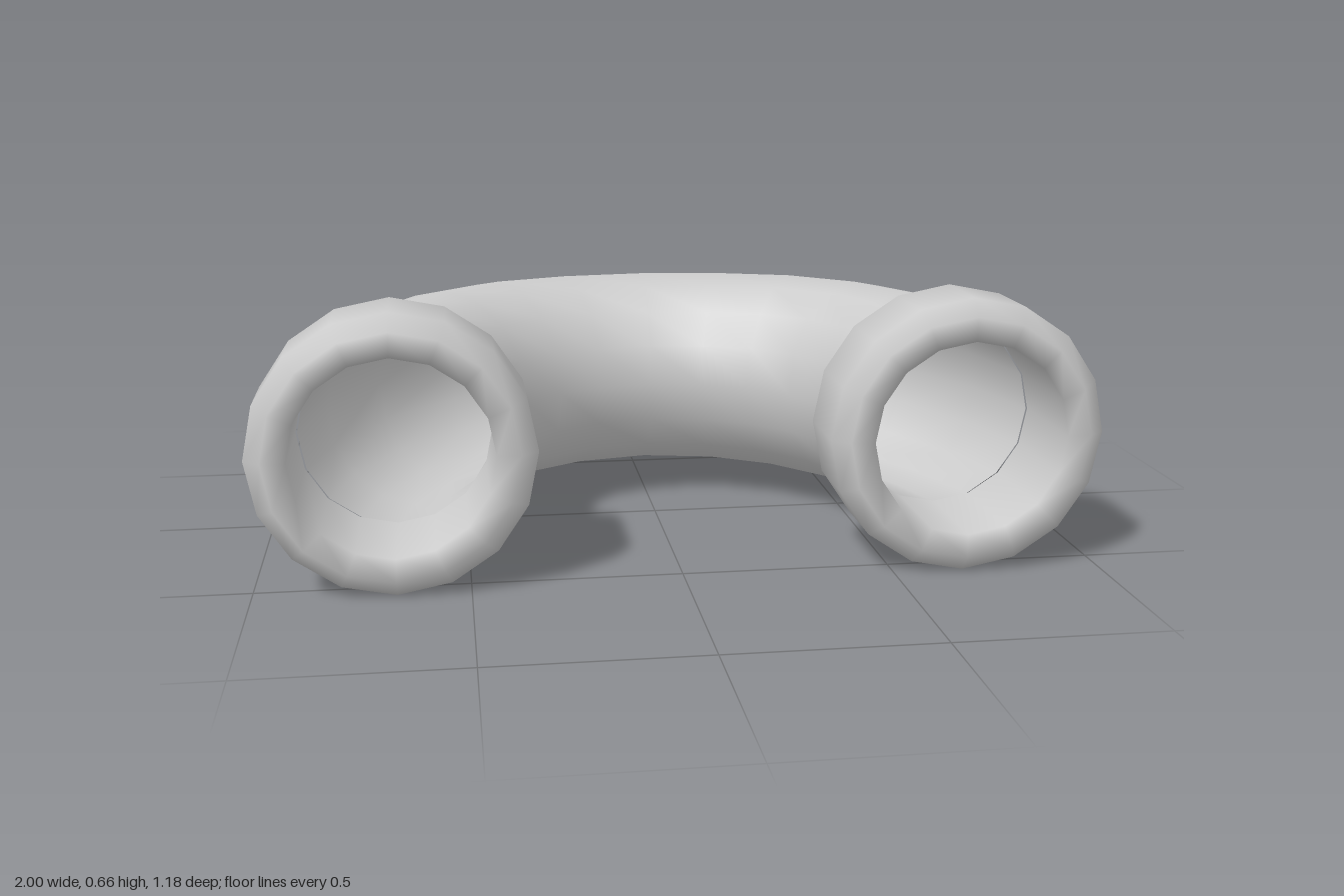
import * as THREE from 'three';

const SIDES = 16;
const AXIS_Y = 0.332;

// Half of the bend: outer x, outer z, inner x, inner z, vertical radius
const half = [
  [0.925, 0.315, 0.407, 0.315, 0.26],
  [0.868, 0.06, 0.395, 0.2, 0.273],
  [0.742, -0.19, 0.34, 0.09, 0.271],
  [0.547, -0.4, 0.245, 0, 0.267],
  [0.29, -0.54, 0.135, -0.05, 0.262],
  [0, -0.588, 0, -0.074, 0.26],
];
const mirrored = half.slice(0, -1).reverse().map(([ox, oz, ix, iz, r]) => [-ox, oz, -ix, iz, r]);
const rings = [...half, ...mirrored];

// Skin through the elliptical rings; inward flips the faces for the bore
function pipeSkin(scale, inward) {
  const positions = [];
  const index = [];
  rings.forEach(([ox, oz, ix, iz, r], i) => {
    const cx = (ox + ix) / 2, cz = (oz + iz) / 2;
    const dx = (ox - ix) / 2, dz = (oz - iz) / 2;
    for (let j = 0; j < SIDES; j++) {
      const t = (j / SIDES) * Math.PI * 2;
      const c = Math.cos(t) * scale, s = Math.sin(t) * scale;
      positions.push(cx + dx * c, AXIS_Y + r * s, cz + dz * c);
      if (i === rings.length - 1) continue;
      const a = i * SIDES + j, b = i * SIDES + ((j + 1) % SIDES);
      const c2 = a + SIDES, d = b + SIDES;
      if (inward) index.push(a, b, c2, b, d, c2);
      else index.push(a, c2, b, b, c2, d);
    }
  });
  const geometry = new THREE.BufferGeometry();
  geometry.setAttribute('position', new THREE.Float32BufferAttribute(positions, 3));
  geometry.setIndex(index);
  geometry.computeVertexNormals();
  return geometry;
}

export function createModel() {
  const group = new THREE.Group();
  group.name = 'pipeBend';
  const material = new THREE.MeshStandardMaterial({ color: 0xcccccc });
  const add = (name, geometry) => {
    const mesh = new THREE.Mesh(geometry, material);
    mesh.name = name;
    group.add(mesh);
    return mesh;
  };

  // Hollow U-shaped pipe
  add('pipeOuterWall', pipeSkin(1, false));
  add('pipeBore', pipeSkin(0.9, true));

  // Collars: sloped shoulder, straight band, bevelled lip and bore
  const profile = [
    [0.258, 0.315], [0.33, 0.365], [0.33, 0.555],
    [0.29, 0.589], [0.233, 0.589], [0.233, 0.315],
  ].map(([r, z]) => new THREE.Vector2(r, z));
  const collar = new THREE.LatheGeometry(profile, SIDES).rotateX(Math.PI / 2);
  for (const side of [1, -1]) {
    const mesh = add(side > 0 ? 'leftCollar' : 'rightCollar', collar);
    mesh.position.set(side * 0.67, AXIS_Y, 0);
  }
  return group;
}
